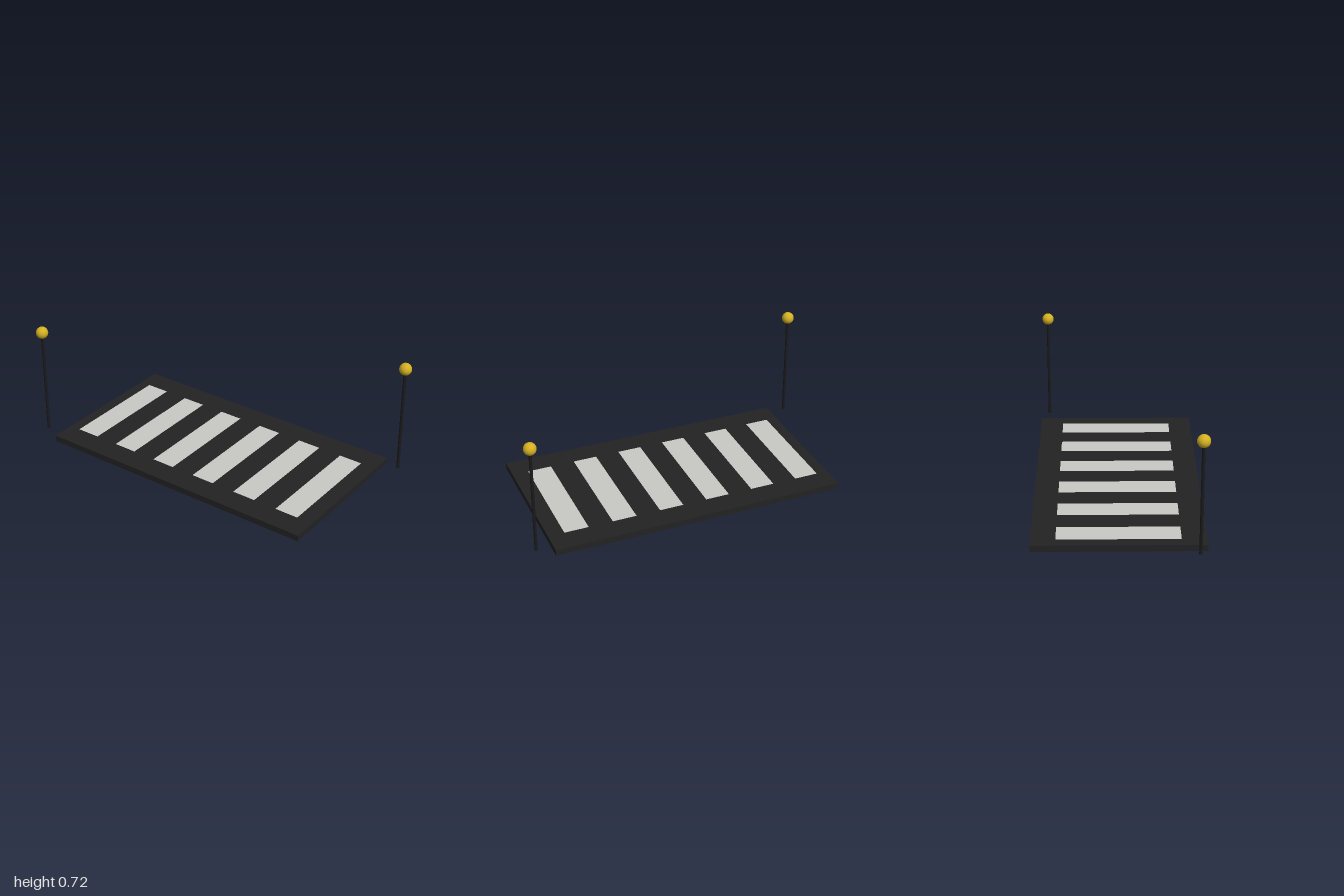
import * as THREE from 'three';

const material = (name, color) => {
  const m = new THREE.MeshStandardMaterial({ color });
  m.name = name;
  return m;
};

export function createModel() {
  const asphalt = material('asphalt', 0x222224);
  const paint = material('stripePaint', 0xc9cac4);
  const poleBlack = material('poleBlack', 0x1a1a1c);
  const amber = material('amber', 0xd4b022);
  const group = new THREE.Group();
  group.name = 'pedestrianCrossing';

  const add = (parent, name, geometry, mat, x, y, z) => {
    const mesh = new THREE.Mesh(geometry, mat);
    mesh.name = name;
    mesh.position.set(x, y, z);
    parent.add(mesh);
    return mesh;
  };

  // Road slab
  const roadTop = 0.037;
  add(group, 'road', new THREE.BoxGeometry(1.735, roadTop, 0.952), asphalt, 0, roadTop / 2, 0);

  // Painted stripes: even pitch, starting near the left edge of the slab
  const stripe = new THREE.PlaneGeometry(0.143, 0.676).rotateX(-Math.PI / 2);
  for (let i = 0; i < 6; i++) {
    add(group, `stripe${i + 1}`, stripe, paint, -0.729 + i * 0.286, roadTop + 0.001, 0);
  }

  // Beacons at two opposite corners, standing level with the road surface
  const globeY = 0.682;
  const poleHeight = globeY - roadTop;
  const pole = new THREE.CylinderGeometry(0.009, 0.009, poleHeight, 12);
  const globe = new THREE.SphereGeometry(0.036, 24, 16);
  for (const side of [-1, 1]) {
    const beacon = new THREE.Group();
    beacon.name = side > 0 ? 'leftBeacon' : 'rightBeacon';
    beacon.position.set(side * 0.964, 0, -side * 0.429);
    add(beacon, 'pole', pole, poleBlack, 0, roadTop + poleHeight / 2, 0);
    add(beacon, 'globe', globe, amber, 0, globeY, 0);
    group.add(beacon);
  }
  return group;
}
